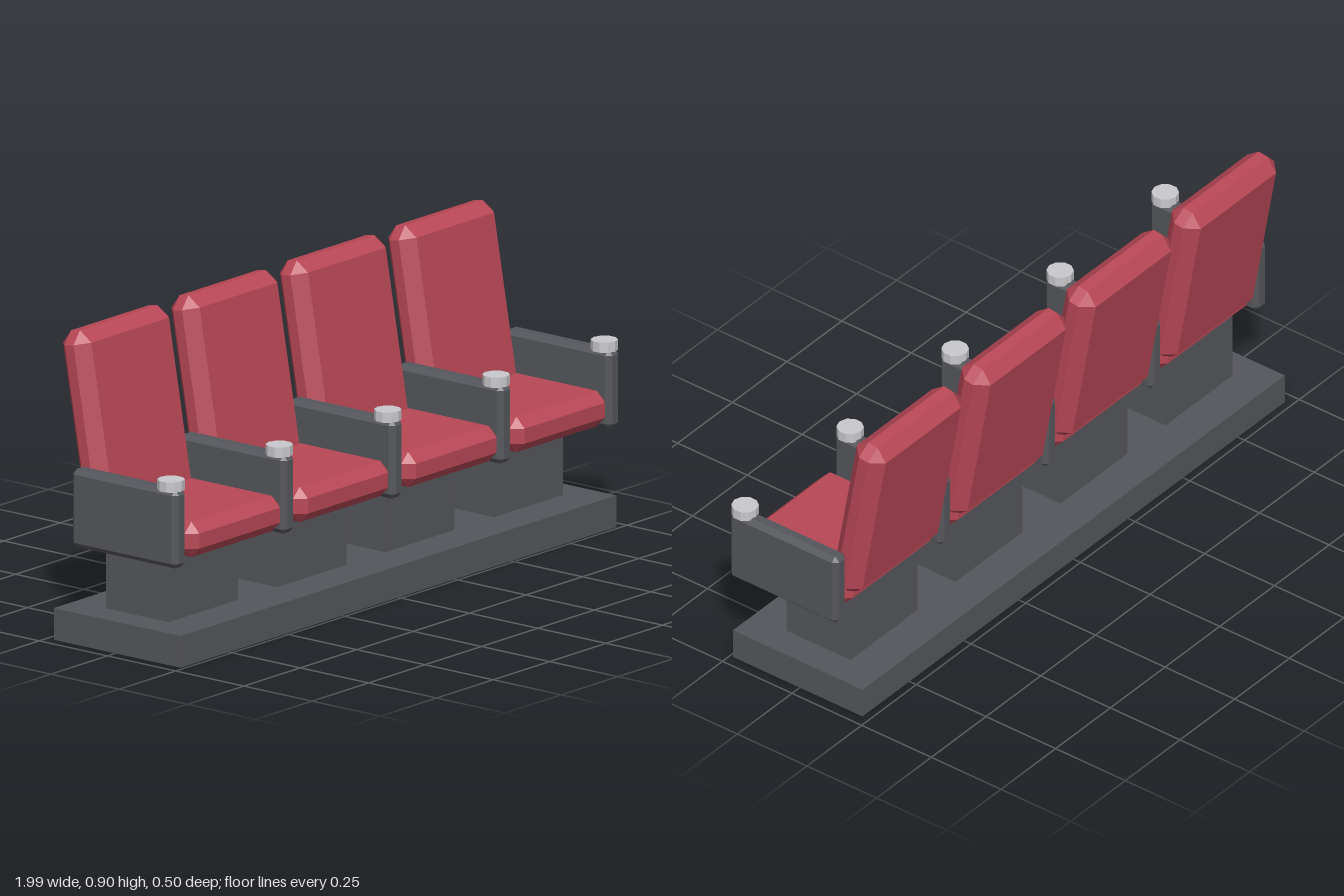
import * as THREE from 'three';
import { ConvexGeometry } from 'three/addons/geometries/ConvexGeometry.js';

const red = new THREE.MeshStandardMaterial({ name: 'red upholstery', color: 0xb84756 });
const grey = new THREE.MeshStandardMaterial({ name: 'dark grey frame', color: 0x55565b });
const silver = new THREE.MeshStandardMaterial({ name: 'light grey cup holder', color: 0xc9c9cd });

// Box with every edge cut at 45 degrees by c
function chamferBox(w, h, d, c) {
  const pts = [];
  for (const sx of [-1, 1]) for (const sy of [-1, 1]) for (const sz of [-1, 1]) {
    const x = w / 2, y = h / 2, z = d / 2;
    pts.push(new THREE.Vector3(sx * x, sy * (y - c), sz * (z - c)));
    pts.push(new THREE.Vector3(sx * (x - c), sy * y, sz * (z - c)));
    pts.push(new THREE.Vector3(sx * (x - c), sy * (y - c), sz * z));
  }
  return new ConvexGeometry(pts);
}

function add(parent, name, geometry, material, x, y, z) {
  const mesh = new THREE.Mesh(geometry, material);
  mesh.name = name;
  mesh.position.set(x, y, z);
  parent.add(mesh);
  return mesh;
}

export function createModel() {
  const model = new THREE.Group();
  model.name = 'seatRow';

  // Shared floor plinth
  add(model, 'plinth', new THREE.BoxGeometry(1.93, 0.093, 0.465), grey, 0, 0.0465, 0.007);

  // Four seats
  const pedestal = new THREE.BoxGeometry(0.306, 0.24, 0.23);
  const cushion = chamferBox(0.416, 0.104, 0.393, 0.03);
  const backrest = chamferBox(0.416, 0.554, 0.105, 0.036);
  for (let i = 0; i < 4; i++) {
    const seat = new THREE.Group();
    seat.name = 'seat';
    seat.position.x = -0.72 + i * 0.48;
    add(seat, 'pedestal', pedestal, grey, 0, 0.2, 0.005);
    add(seat, 'cushion', cushion, red, 0, 0.359, 0.0565);
    add(seat, 'backrest', backrest, red, 0, 0.622, -0.158).rotation.x = -THREE.MathUtils.degToRad(10);
    model.add(seat);
  }

  // Five armrests, each with a cup holder at the front
  const arm = chamferBox(0.055, 0.23, 0.388, 0.015);
  const cup = new THREE.CylinderGeometry(0.039, 0.039, 0.03, 10).toNonIndexed();
  cup.computeVertexNormals();
  for (let i = 0; i < 5; i++) {
    const armrest = new THREE.Group();
    armrest.name = 'armrest';
    armrest.position.x = -0.96 + i * 0.48;
    add(armrest, 'armPanel', arm, grey, 0, 0.405, 0.046);
    add(armrest, 'cupHolder', cup, silver, 0, 0.53, 0.2);
    model.add(armrest);
  }
  return model;
}
